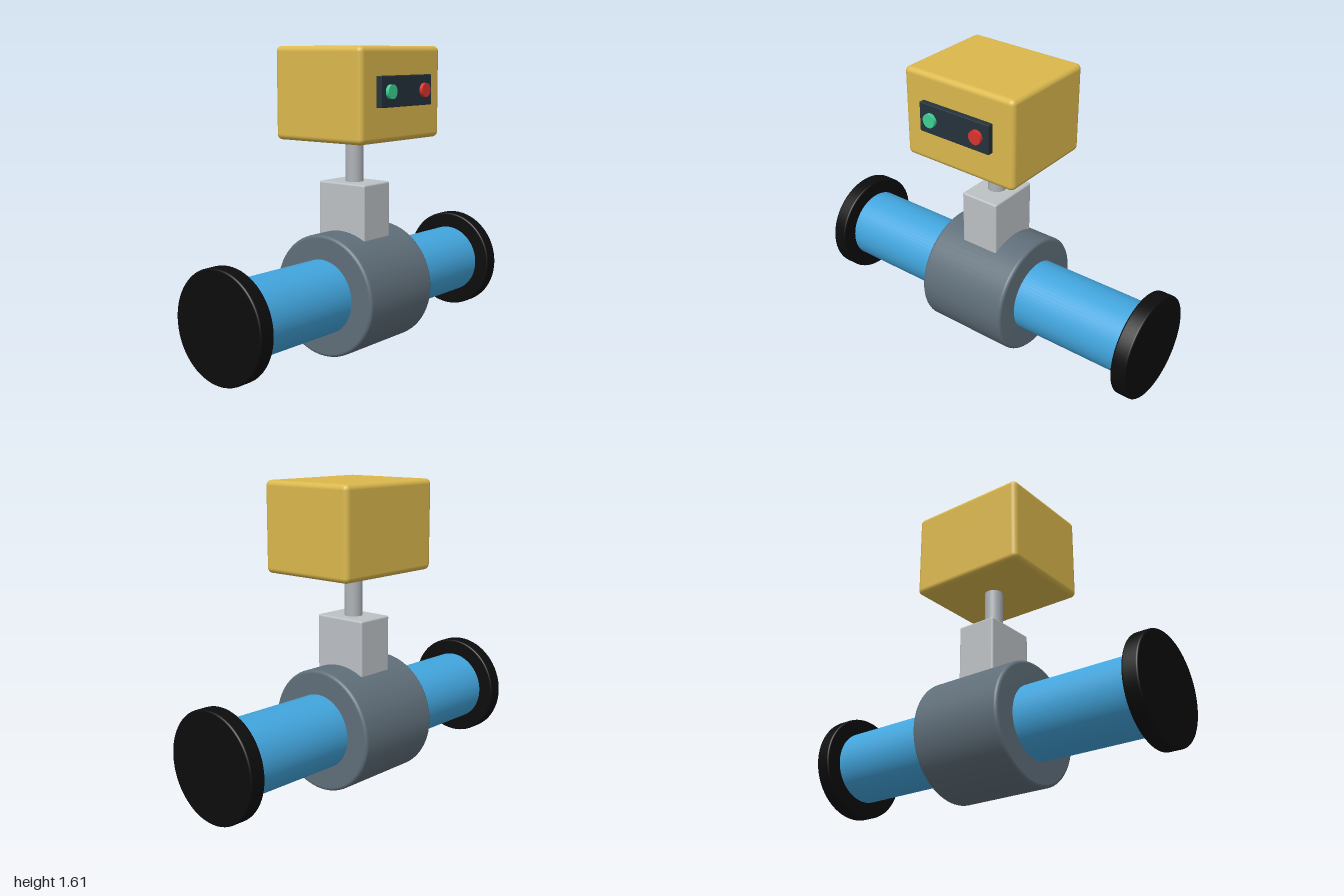
import * as THREE from 'three';
import { RoundedBoxGeometry } from 'three/addons/geometries/RoundedBoxGeometry.js';

const AXIS_Y = 0.325; // height of the pipe axis
const AXIS_Z = -0.027; // depth of the pipe axis

const mat = (color) => new THREE.MeshStandardMaterial({ color, roughness: 0.6 });

// Solid disc of revolution about y with rounded rims
function roundedDisc(radius, length, bevel) {
  const h = length / 2;
  const points = [new THREE.Vector2(0, -h)];
  const steps = 6;
  for (const side of [-1, 1]) {
    for (let i = 0; i <= steps; i++) {
      const a = (side < 0 ? i / steps - 1 : i / steps) * Math.PI / 2;
      points.push(new THREE.Vector2(
        radius - bevel + bevel * Math.cos(a),
        side * (h - bevel) + bevel * Math.sin(a)
      ));
    }
  }
  points.push(new THREE.Vector2(0, h));
  return new THREE.LatheGeometry(points, 64);
}

export function createModel() {
  const model = new THREE.Group();
  model.name = 'motorisedValve';

  const add = (name, geometry, material, x, y, z) => {
    const mesh = new THREE.Mesh(geometry, material);
    mesh.name = name;
    mesh.position.set(x, y, z);
    model.add(mesh);
    return mesh;
  };

  const yellow = mat(0xdbb84d);
  const blue = mat(0x42a5dd);
  const slate = mat(0x5f6e79);
  const black = mat(0x0c0c0c);
  const silver = mat(0xbcc1c5);
  const rodGrey = mat(0xaeb2b6);
  const dark = mat(0x26323b);

  // Pipe, valve body and end flanges along x
  add('pipe', new THREE.CylinderGeometry(0.195, 0.195, 1.86, 64).rotateZ(Math.PI / 2),
    blue, 0, AXIS_Y, AXIS_Z);
  add('valveBody', roundedDisc(0.323, 0.53, 0.018).rotateZ(Math.PI / 2),
    slate, 0, AXIS_Y, AXIS_Z);
  for (const [name, side] of [['leftFlange', 1], ['rightFlange', -1]]) {
    add(name, roundedDisc(0.281, 0.085, 0.01).rotateZ(Math.PI / 2),
      black, side * 0.9575, AXIS_Y, AXIS_Z);
  }

  // Neck block and stem
  add('neck', new RoundedBoxGeometry(0.22, 0.36, 0.305, 4, 0.01), silver, 0, 0.722, AXIS_Z);
  add('stem', new THREE.CylinderGeometry(0.048, 0.048, 0.36, 32), rodGrey, 0, 1.01, AXIS_Z);

  // Actuator housing
  add('actuatorHousing', new RoundedBoxGeometry(0.668, 0.476, 0.562, 5, 0.028),
    yellow, 0, 1.37, 0.002);

  // Control panel with two indicator buttons
  add('controlPanel', new RoundedBoxGeometry(0.426, 0.155, 0.054, 3, 0.004),
    dark, 0, 1.386, 0.286);
  for (const [name, x, color] of [['greenButton', -0.142, 0x3dd092], ['redButton', 0.142, 0xdb332e]]) {
    add(name, new THREE.CylinderGeometry(0.036, 0.036, 0.04, 32).rotateX(Math.PI / 2),
      mat(color), x, 1.386, 0.312);
  }

  return model;
}
